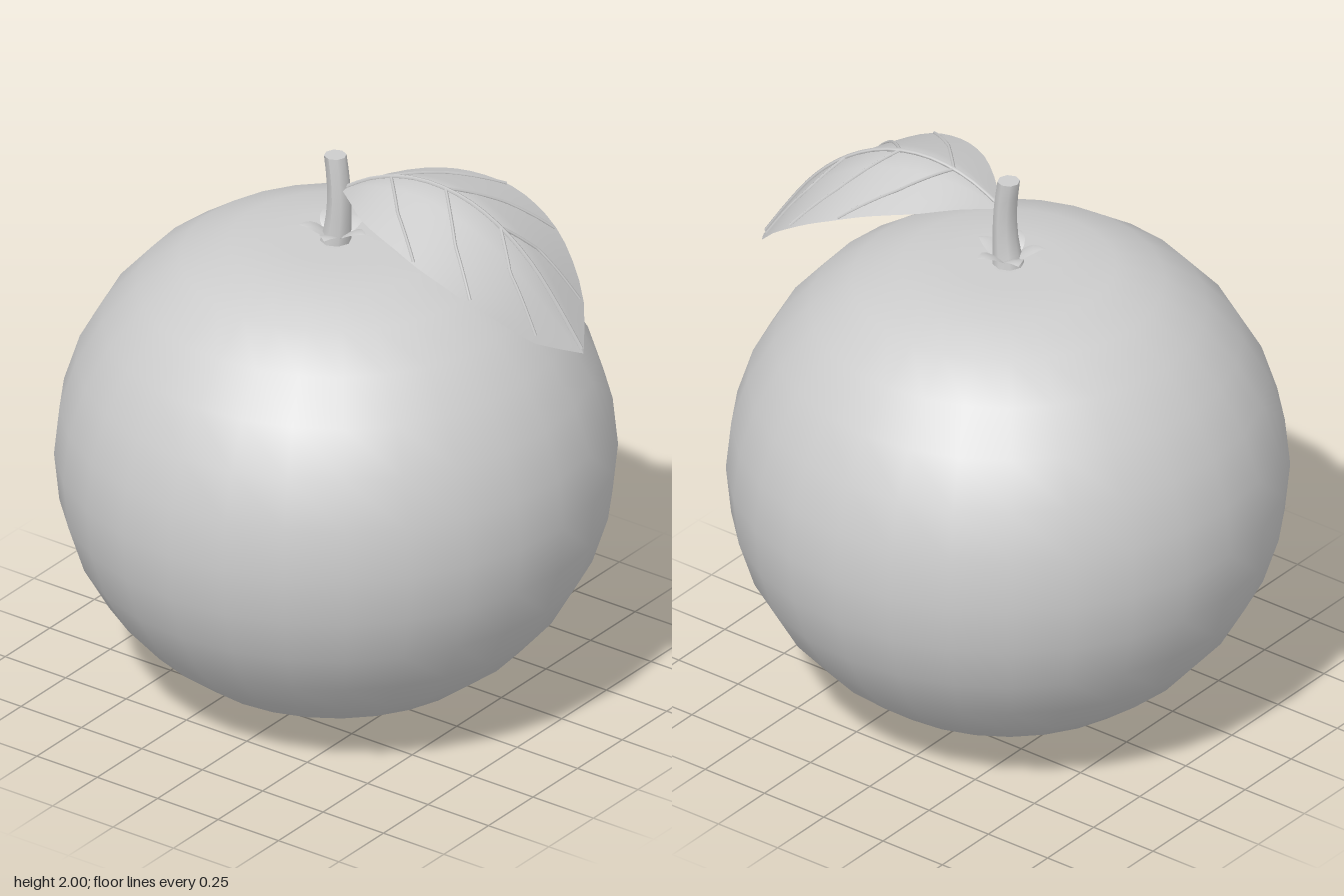
import * as THREE from 'three';

const grey = new THREE.MeshStandardMaterial({ color: 0xcccccc, side: THREE.DoubleSide });
grey.name = 'plain grey';

function add(parent, name, geometry) {
  const mesh = new THREE.Mesh(geometry, grey);
  mesh.name = name;
  parent.add(mesh);
  return mesh;
}

// Grid surface: point(s, u) with s in 0..1 along the blade and u in -1..1 across it
function blade(point, rows, cols) {
  const pos = [], index = [];
  for (let i = 0; i <= rows; i++) {
    for (let j = 0; j <= cols; j++) {
      pos.push(...point(i / rows, (j / cols) * 2 - 1).toArray());
      if (i < rows && j < cols) {
        const a = i * (cols + 1) + j, b = a + cols + 1;
        index.push(a, a + 1, b, b, a + 1, b + 1);
      }
    }
  }
  const g = new THREE.BufferGeometry();
  g.setAttribute('position', new THREE.Float32BufferAttribute(pos, 3));
  g.setIndex(index);
  g.computeVertexNormals();
  return g;
}

// Midrib height and half width of the leaf at equal steps from base to tip
const ribY = [1.89, 1.945, 1.978, 1.992, 1.987, 1.965, 1.922, 1.857, 1.765, 1.64, 1.5];
const halfW = [0.02, 0.125, 0.215, 0.27, 0.305, 0.328, 0.325, 0.303, 0.25, 0.165, 0];
const leafCurve = new THREE.CatmullRomCurve3(
  ribY.map((y, i) => new THREE.Vector3(i / 10, y, halfW[i])), false, 'catmullrom');

// Point on the leaf: s along the midrib, v sideways distance
function leafPoint(s, v, lift = 0) {
  const y = leafCurve.getPoint(s).y - 0.36 * Math.pow(Math.abs(v), 1.1);
  return new THREE.Vector3(0.04 + 0.9 * s + 0.127 * v, y + lift, -0.115 * s + 0.992 * v);
}

// Thin raised vein following the leaf through [s, v] stops
function vein(stops, radius) {
  const pts = [];
  for (let k = 0; k < stops.length - 1; k++) {
    const [s0, v0] = stops[k], [s1, v1] = stops[k + 1];
    for (let i = k ? 1 : 0; i <= 5; i++) {
      const t = i / 5;
      pts.push(leafPoint(s0 + (s1 - s0) * t, v0 + (v1 - v0) * t, 0.002));
    }
  }
  return new THREE.TubeGeometry(new THREE.CatmullRomCurve3(pts), 20, radius, 5);
}

export function createModel() {
  const model = new THREE.Group();
  model.name = 'fruit';

  // Body: round, with a shallow dimple at the top
  const profile = [];
  for (let i = 0; i <= 16; i++) {
    const a = (i / 16) * Math.PI;
    const r = i % 16 ? 0.94 * Math.sin(a) : 0;
    const dimple = i > 8 ? 0.1 * Math.exp(-((r / 0.38) ** 2)) : 0;
    profile.push(new THREE.Vector2(r, 0.89 - 0.89 * Math.cos(a) - dimple));
  }
  add(model, 'body', new THREE.LatheGeometry(profile, 28));

  // Stem: slightly bowed and flared at the foot
  const stem = new THREE.CylinderGeometry(0.038, 0.042, 0.33, 8, 6);
  const p = stem.attributes.position;
  for (let i = 0; i < p.count; i++) {
    const t = p.getY(i) / 0.33 + 0.5;
    const flare = 1 + 0.3 * (1 - t) ** 4;
    p.setXYZ(i, p.getX(i) * flare + 0.016 * Math.sin(Math.PI * t) - 0.003, 1.67 + 0.33 * t, p.getZ(i) * flare);
  }
  stem.computeVertexNormals();
  add(model, 'stem', stem);

  // Calyx: five pointed sepals around the stem foot
  const sepal = blade((s, u) => new THREE.Vector3(
    0.025 + 0.1 * s,
    1.705 + 0.035 * Math.sin(s * 2) - 0.008 * u * u * (1 - s),
    u * 0.036 * Math.sin(Math.PI * (0.25 + 0.75 * s))), 5, 4);
  const calyx = new THREE.Group();
  calyx.name = 'calyx';
  for (let i = 0; i < 5; i++) add(calyx, 'sepal', sepal).rotation.y = (i / 5) * Math.PI * 2;
  model.add(calyx);

  // Leaf with midrib and three pairs of veins
  const leaf = new THREE.Group();
  leaf.name = 'leaf';
  add(leaf, 'leafBlade', blade((s, u) => leafPoint(s, u * Math.max(0, leafCurve.getPoint(s).z)), 20, 8));
  add(leaf, 'midrib', vein([[0, 0], [0.5, 0], [0.99, 0]], 0.008));
  const sideVeins = [
    [[0.19, 0], [0.32, 0.164], [0.48, 0.318]],
    [[0.42, 0], [0.57, 0.176], [0.7, 0.29]],
    [[0.65, 0], [0.75, 0.095], [0.89, 0.15]],
  ];
  for (const stops of sideVeins) {
    for (const side of [-1, 1]) {
      add(leaf, 'sideVein', vein(stops.map(([s, v]) => [s, v * side]), 0.006));
    }
  }
  model.add(leaf);

  return model;
}
